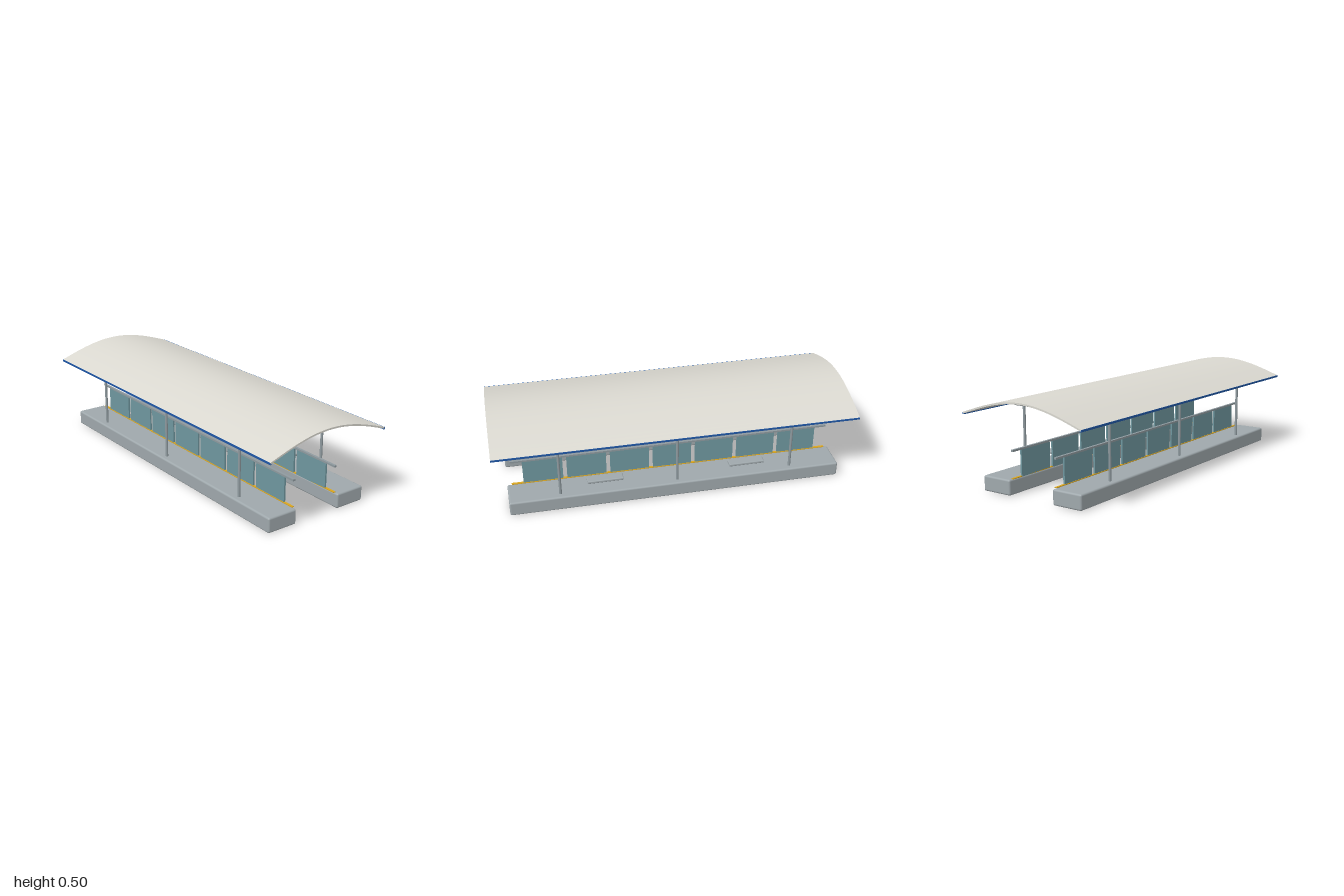
import * as THREE from 'three';
import { toCreasedNormals } from 'three/addons/utils/BufferGeometryUtils.js';
import { RoundedBoxGeometry } from 'three/addons/geometries/RoundedBoxGeometry.js';

const paint = (name, color) => {
  const m = new THREE.MeshStandardMaterial({ color });
  m.name = name;
  return m;
};

export function createModel() {
  const station = new THREE.Group();
  station.name = 'station';

  const concrete = paint('concrete grey', 0x9fa8ac);
  const steel = paint('steel grey', 0x8f9a9f);
  const glass = paint('teal glass', 0x6f979f);
  const roofPaint = paint('roof off-white', 0xdad8d0);
  const blue = paint('blue', 0x2159a8);
  const yellow = paint('safety yellow', 0xd9a520);

  const add = (name, geometry, material, x = 0, y = 0, z = 0) => {
    const mesh = new THREE.Mesh(geometry, material);
    mesh.name = name;
    mesh.position.set(x, y, z);
    station.add(mesh);
    return mesh;
  };
  const box = (w, h, d) => new THREE.BoxGeometry(w, h, d);

  const deckTop = 0.083;
  const postXs = [-0.65, 0, 0.65];

  // Curved roof: a thin cosine arch extruded along x
  const halfSpan = 0.379, steps = 32, thickness = 0.009;
  const archY = (t) => 0.418 + 0.085 * Math.cos(t * Math.PI / 2);
  const top = [], under = [];
  for (let i = 0; i <= steps; i++) {
    const t = -1 + 2 * i / steps;
    top.push(new THREE.Vector2(t * halfSpan, archY(t)));
    under.unshift(new THREE.Vector2(t * halfSpan, archY(t) - thickness));
  }
  const arch = new THREE.ExtrudeGeometry(new THREE.Shape([...top, ...under]), {
    depth: 2, bevelEnabled: false, steps: 1,
  });
  arch.translate(0, 0, -1).rotateY(Math.PI / 2);
  add('roof', toCreasedNormals(arch, 0.5), roofPaint);

  // Both platforms with their screens and posts
  for (const side of [1, -1]) {
    add('roofTrim', box(2, 0.011, 0.01), blue, 0, 0.4125, side * 0.376);
    add('platform', new RoundedBoxGeometry(1.86, deckTop, 0.178, 3, 0.01), concrete,
      0, deckTop / 2, side * 0.229);
    add('warningStrip', box(1.81, 0.004, 0.014), yellow, 0, deckTop + 0.002, side * 0.142);

    // Seven glass screens under a handrail
    for (let i = -3; i <= 3; i++) {
      add('glassScreen', box(0.22, 0.145, 0.01), glass, i * 0.243, deckTop + 0.0725, side * 0.14);
    }
    add('handrail', box(1.81, 0.01, 0.014), steel, 0, 0.23, side * 0.14);

    for (const x of postXs) {
      add('post', new THREE.CylinderGeometry(0.0075, 0.0075, 0.327, 16), steel,
        x, deckTop + 0.1635, side * 0.281);
    }
  }

  // Cross beams carrying the roof
  for (const x of postXs) {
    add('crossBeam', new THREE.CylinderGeometry(0.008, 0.008, 0.686, 16), steel, x, 0.411, 0)
      .rotation.x = Math.PI / 2;
  }

  // Benches on the rear platform
  for (const x of [-0.4, 0.4]) {
    add('bench', new RoundedBoxGeometry(0.2, 0.016, 0.055, 2, 0.005), concrete, x, 0.128, -0.253);
  }

  // Hanging sign board
  add('signBoard', box(0.31, 0.052, 0.01), blue, 0, 0.336, 0);

  return station;
}
